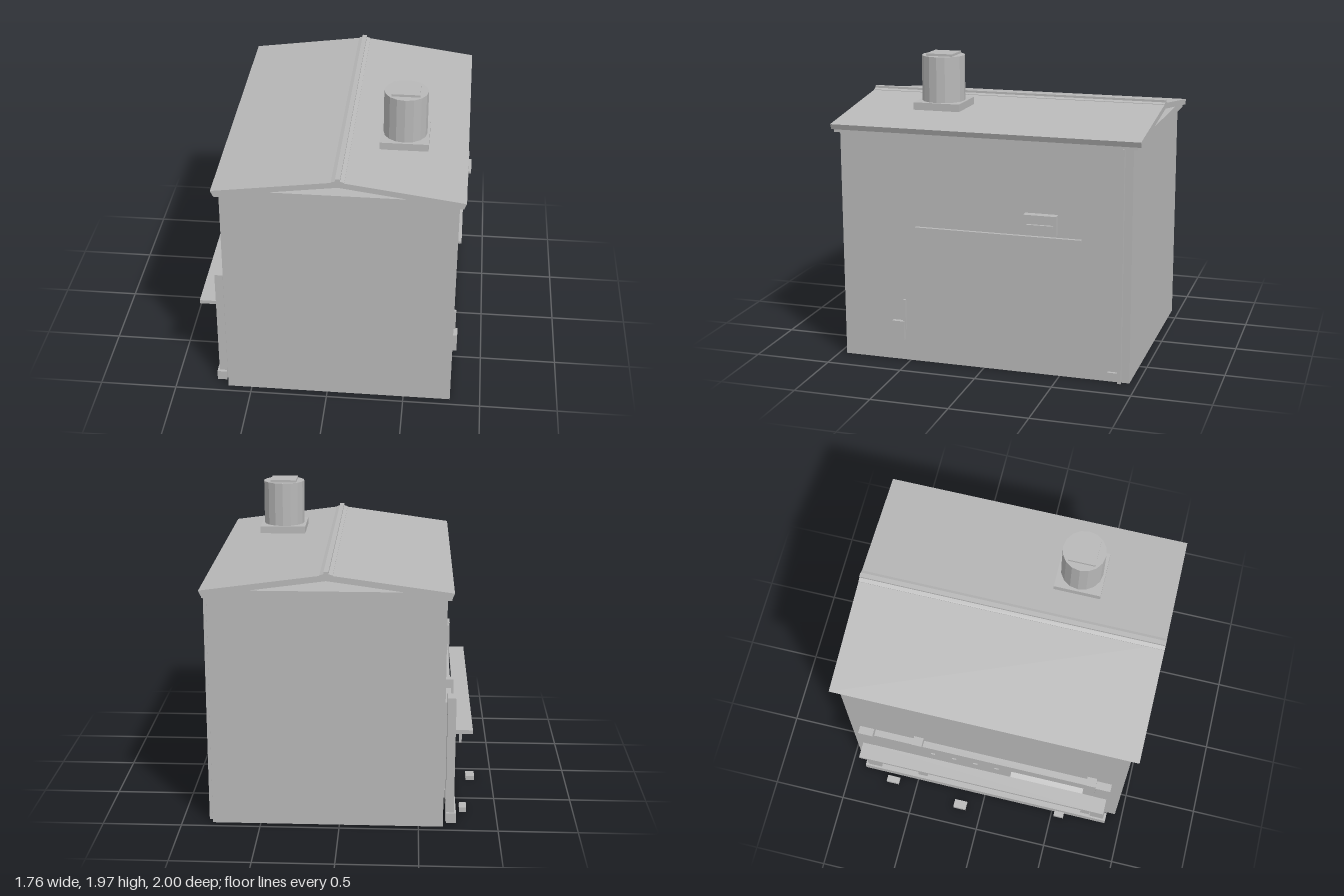
import * as THREE from 'three';

const paint = new THREE.MeshStandardMaterial({ color: 0xb8b8b8 });
paint.name = 'plain grey';

export function createModel() {
  const root = new THREE.Group();
  root.name = 'kioskBuilding';

  const add = (name, geometry, parent = root) => {
    const mesh = new THREE.Mesh(geometry, paint);
    mesh.name = name;
    parent.add(mesh);
    return mesh;
  };
  // Box given by its limits on each axis
  const box = (name, x0, x1, y0, y1, z0, z1, parent = root) => {
    const mesh = add(name, new THREE.BoxGeometry(x1 - x0, y1 - y0, z1 - z0), parent);
    mesh.position.set((x0 + x1) / 2, (y0 + y1) / 2, (z0 + z1) / 2);
    return mesh;
  };
  // Outline in x, y extruded along z
  const extrudeZ = (name, points, z0, z1, parent = root) => {
    const shape = new THREE.Shape(points.map(([x, y]) => new THREE.Vector2(x, y)));
    const mesh = add(name, new THREE.ExtrudeGeometry(shape, { depth: z1 - z0, bevelEnabled: false }), parent);
    mesh.position.z = z0;
    return mesh;
  };
  const group = (name) => {
    const g = new THREE.Group();
    g.name = name;
    root.add(g);
    return g;
  };

  // Walls and cornice
  box('walls', -0.655, 0.805, 0, 1.49, -0.95, 0.95);
  box('cornice', -0.68, 0.83, 1.49, 1.54, -0.98, 0.98);
  box('atticPlate', -0.43, -0.08, 1.54, 1.557, -0.2, 0.2);

  // Pitched roof with open gables
  const roof = group('roof');
  const ridgeX = 0.075;
  for (const s of [-1, 1]) {
    const pts = [[0, 1.61], [0.755, 1.507], [0.77, 1.542], [0, 1.647]];
    extrudeZ(s < 0 ? 'rightRoofSlope' : 'leftRoofSlope',
      pts.map(([x, y]) => [ridgeX + s * x, y]), -1, 1, roof);
  }
  extrudeZ('ridgeCap', [[0.035, 1.638], [0.115, 1.638], [0.115, 1.645], [0.09, 1.653],
    [0.09, 1.667], [0.06, 1.667], [0.06, 1.653], [0.035, 1.645]], -1, 1, roof);

  // Chimney
  const chimney = group('chimney');
  box('chimneyBase', 0.29, 0.595, 1.615, 1.663, 0.225, 0.53, chimney);
  const stack = new THREE.CylinderGeometry(0.138, 0.138, 0.292, 16).toNonIndexed();
  stack.computeVertexNormals();
  add('chimneyStack', stack, chimney).position.set(0.443, 1.809, 0.378);
  box('chimneyCap', 0.355, 0.53, 1.955, 1.97, 0.29, 0.465, chimney);

  // Fittings on the left wall
  const fittings = group('leftWallFittings');
  box('downpipe', 0.813, 0.833, 0, 1.49, -0.9, -0.877, fittings);
  box('downpipeShoe', 0.813, 0.833, 0.047, 0.068, -0.877, -0.812, fittings);
  box('ventBox', 0.805, 0.858, 0.925, 1.05, -0.485, -0.275, fittings);
  box('ventSlot', 0.858, 0.876, 0.977, 0.993, -0.468, -0.297, fittings);
  box('wallRail', 0.807, 0.83, 0.89, 0.905, -0.637, 0.447, fittings);
  box('meterBox', 0.805, 0.834, 0.14, 0.268, 0.533, 0.615, fittings);
  box('conduit', 0.805, 0.82, 0.21, 0.412, 0.525, 0.545, fittings);

  // Counter front on the right wall
  const front = group('counterFront');
  box('sill', -0.738, -0.675, 0, 0.066, -0.895, 0.89, front);
  for (const z of [-0.875, 0.772]) {
    box('outerPost', -0.725, -0.672, 0, 0.833, z, z + 0.1, front);
  }
  for (const z of [-0.5, 0.702]) {
    box('innerPost', -0.717, -0.655, 0, 0.828, z, z + 0.066, front);
  }
  box('lintel', -0.7, -0.655, 0.67, 0.77, -0.775, 0.772, front);
  box('shelf', -0.832, -0.724, 0.595, 0.62, -0.86, 0.86, front);
  for (const z of [-0.65, 0.65]) {
    box('shelfBracket', -0.772, -0.755, 0.458, 0.595, z - 0.015, z + 0.015, front);
  }

  // Vertical bars and slanted louvres
  for (let i = 0; i < 4; i++) {
    const z = -0.37 + i * 0.15;
    box('verticalBar', -0.695, -0.66, 0.066, 0.62, z - 0.015, z + 0.015, front);
  }
  box('louvreBack', -0.668, -0.655, 0.066, 0.6, 0.17, 0.69, front);
  for (let i = 0; i < 7; i++) {
    const y = 0.11 + i * 0.07;
    box('louvre', -0.705, -0.66, y, y + 0.015, 0.18, 0.69, front).rotation.z = 0.5;
  }

  // Loose blocks on the ground
  const blocks = [[-0.883, -0.825, -0.2, -0.11], [-0.81, -0.765, -0.72, -0.63], [-0.775, -0.735, 0.52, 0.59]];
  for (const [x0, x1, z0, z1] of blocks) box('groundBlock', x0, x1, 0, 0.03, z0, z1);

  return root;
}
